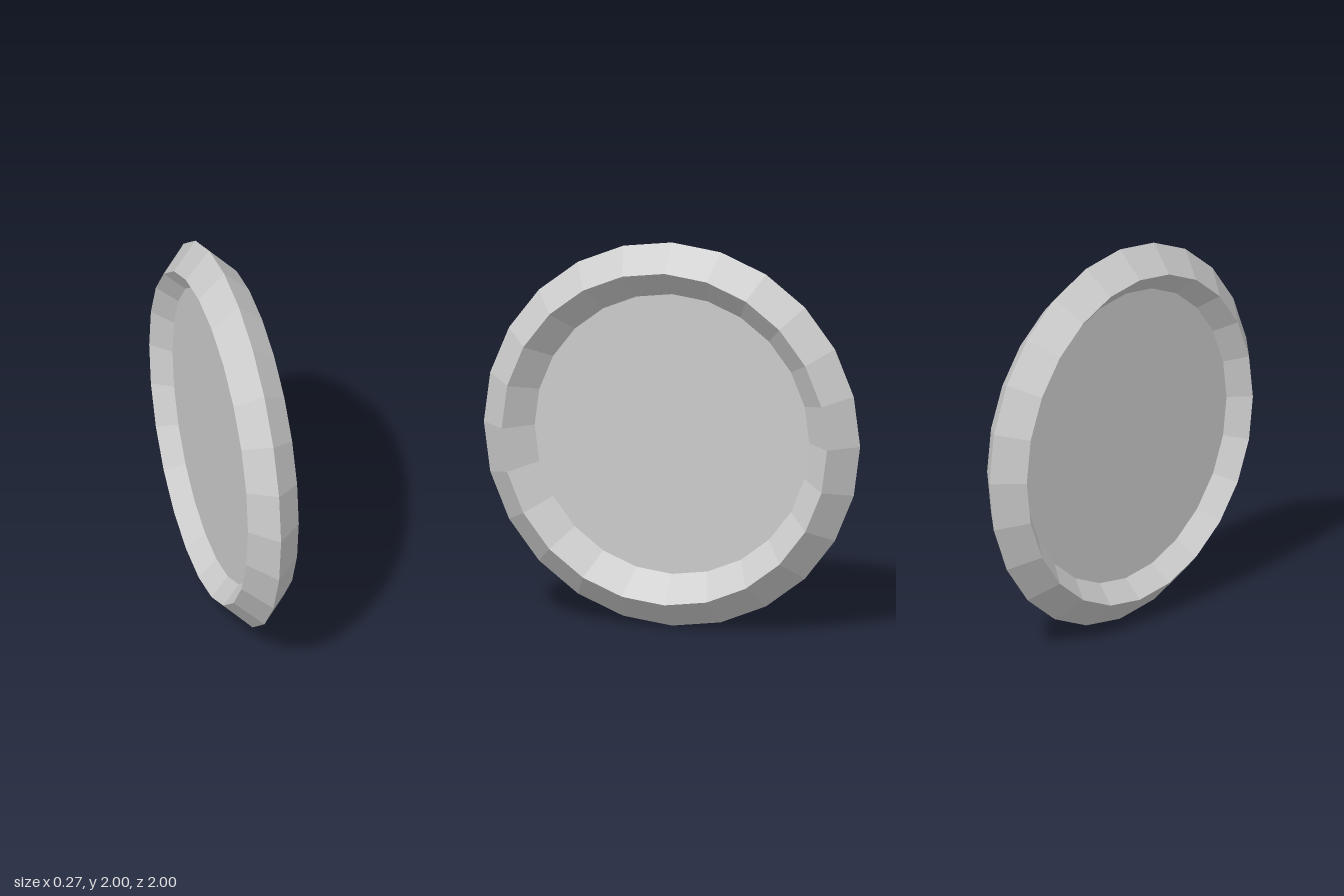
import * as THREE from 'three';

const SIDES = 24;
const RING_RADIUS = 0.865; // centre of the diamond section
const BEVEL = 0.135; // half width of the diamond section
const PANE_OFFSET = 0.04; // pane sits slightly off the ring's mid-plane

export function createModel() {
  const group = new THREE.Group();
  group.name = 'roundFrame';

  // Faceted ring with a diamond cross-section, axis along x
  const ring = new THREE.Mesh(
    new THREE.TorusGeometry(RING_RADIUS, BEVEL, 4, SIDES).rotateY(Math.PI / 2),
    new THREE.MeshStandardMaterial({ color: 0xcccccc, flatShading: true })
  );
  ring.name = 'ring';
  ring.position.y = 1;

  // Flat pane meeting the inner bevel of the ring
  const pane = new THREE.Mesh(
    new THREE.CircleGeometry(RING_RADIUS - BEVEL + PANE_OFFSET, SIDES).rotateY(Math.PI / 2),
    new THREE.MeshStandardMaterial({ color: 0xcccccc, flatShading: true, side: THREE.DoubleSide })
  );
  pane.name = 'pane';
  pane.position.set(-PANE_OFFSET, 1, 0);

  group.add(ring, pane);
  return group;
}
